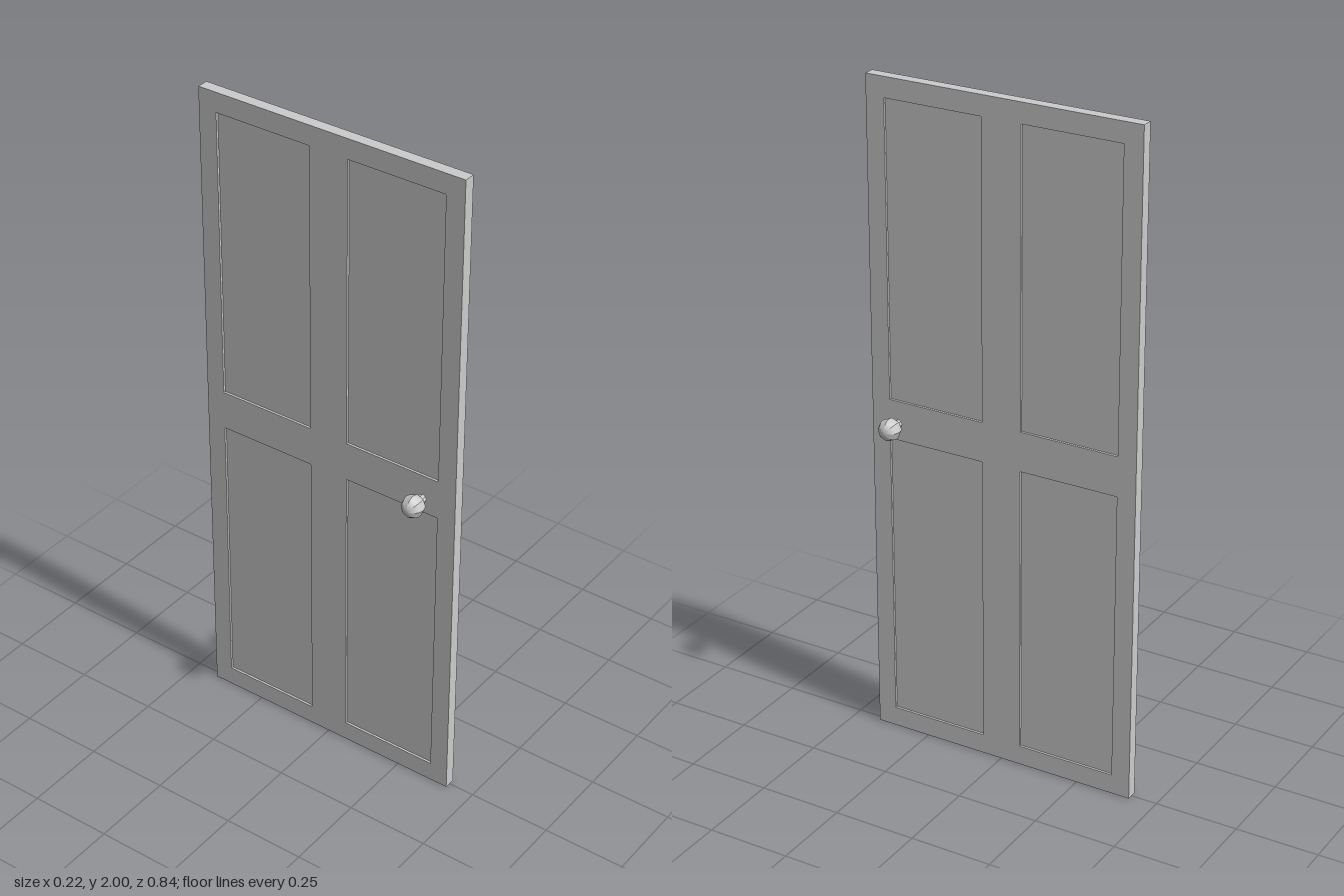
import * as THREE from 'three';

const H = 2, HALF_W = 0.42, T = 0.034, PANEL_T = 0.02;
const KNOB = { y: 1, z: 0.325, x: 0.078, r: 0.033, stemR: 0.013, stemStart: 0.033 };

export function createModel() {
  const group = new THREE.Group();
  group.name = 'door';
  const material = new THREE.MeshStandardMaterial({ color: 0xcccccc, flatShading: true });

  const add = (name, geometry, parent = group) => {
    const mesh = new THREE.Mesh(geometry, material);
    mesh.name = name;
    parent.add(mesh);
    return mesh;
  };

  // Door frame: one slab with four rectangular openings
  const outline = new THREE.Shape([
    new THREE.Vector2(-HALF_W, 0), new THREE.Vector2(HALF_W, 0),
    new THREE.Vector2(HALF_W, H), new THREE.Vector2(-HALF_W, H),
  ]);
  const panelW = 0.302, panelH = 0.88;
  for (const z of [-0.212, 0.212]) {
    for (const y of [0.5, 1.5]) {
      const a = z - panelW / 2, b = z + panelW / 2, c = y - panelH / 2, d = y + panelH / 2;
      outline.holes.push(new THREE.Path([
        new THREE.Vector2(a, c), new THREE.Vector2(a, d),
        new THREE.Vector2(b, d), new THREE.Vector2(b, c),
      ]));
      // Thinner panel, recessed on both faces
      const panel = add(`${y > 1 ? 'upper' : 'lower'}${z > 0 ? 'Front' : 'Rear'}Panel`,
        new THREE.BoxGeometry(PANEL_T, panelH, panelW));
      panel.position.set(0, y, z);
    }
  }
  const frame = new THREE.ExtrudeGeometry(outline, { depth: T, bevelEnabled: false });
  frame.translate(0, 0, -T / 2).rotateY(-Math.PI / 2);
  add('doorFrame', frame);

  // Knobs: eight-sided ball on a short stem, one on each face
  for (const side of [1, -1]) {
    const knob = new THREE.Group();
    knob.name = side > 0 ? 'leftKnob' : 'rightKnob';
    knob.position.set(0, KNOB.y, KNOB.z);
    knob.rotation.z = -side * Math.PI / 2;
    group.add(knob);

    const arc = [];
    for (let i = 0; i <= 16; i++) {
      const t = -Math.PI / 2 + (Math.PI * i) / 16;
      arc.push(new THREE.Vector2(Math.max(0, KNOB.r * Math.cos(t)), KNOB.x + KNOB.r * Math.sin(t)));
    }
    add('knobBall', new THREE.LatheGeometry(arc, 8), knob);

    const stemLength = 0.02;
    const stem = new THREE.CylinderGeometry(KNOB.stemR, KNOB.stemR, stemLength, 8);
    add('knobStem', stem, knob).position.y = KNOB.stemStart + stemLength / 2;
  }

  return group;
}
